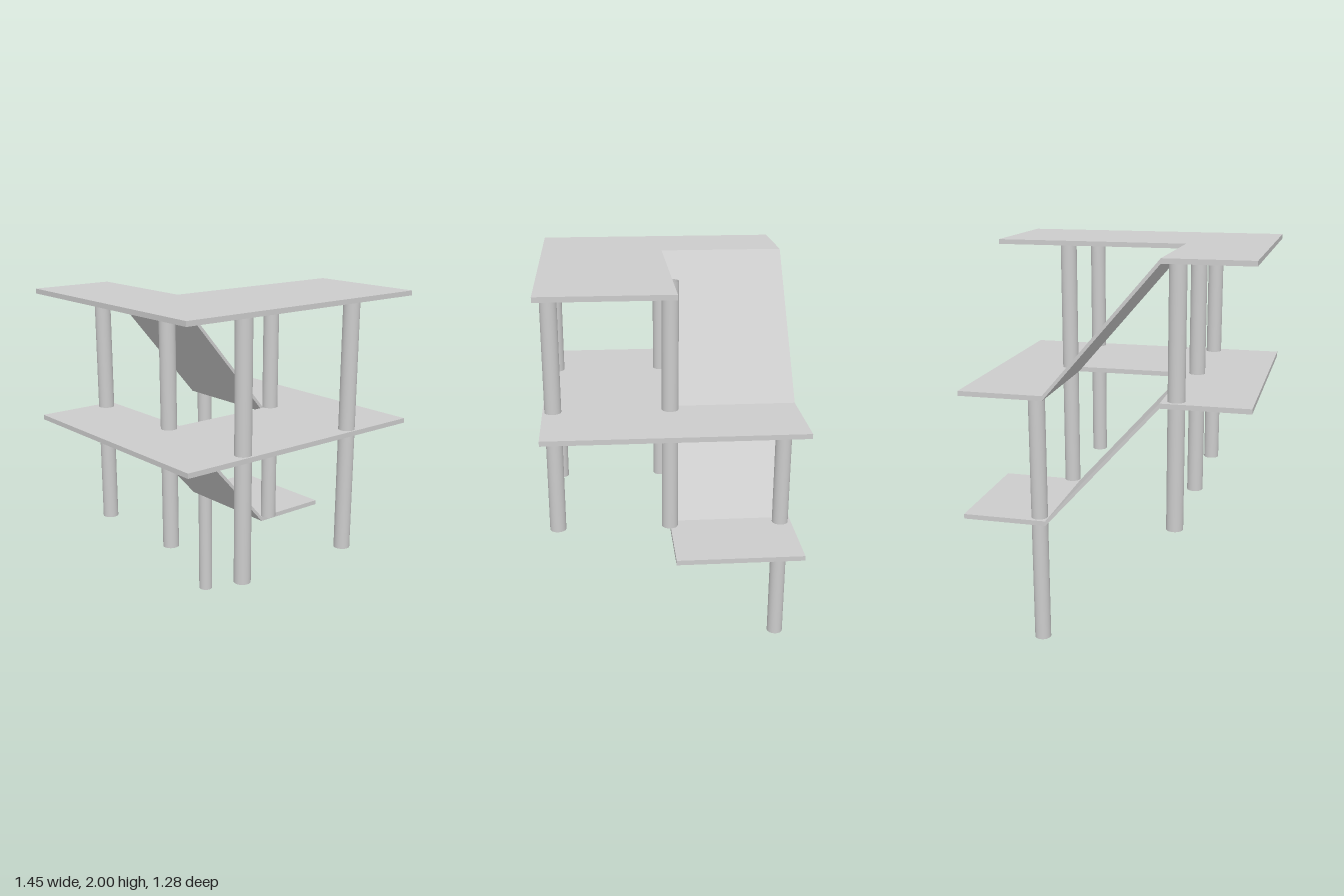
import * as THREE from 'three';

const W = 0.725, D = 0.64, IN = 0.29, T = 0.025; // half width, half depth, ramp half width, slab thickness
const LEVELS = [0.65, 1.3, 1.975]; // underside of each deck

export function createModel() {
  const group = new THREE.Group();
  const solid = new THREE.MeshStandardMaterial({ color: 0xcccccc });
  const shell = new THREE.MeshStandardMaterial({ color: 0xcccccc, side: THREE.DoubleSide });

  const add = (name, geometry, material) => {
    const mesh = new THREE.Mesh(geometry, material);
    mesh.name = name;
    group.add(mesh);
    return mesh;
  };
  const extrude = (points, depth) => new THREE.ExtrudeGeometry(
    new THREE.Shape(points.map(([x, y]) => new THREE.Vector2(x, y))), { depth, bevelEnabled: false });

  // Flat slab from an outline of [x, z] points
  const deck = (name, outline, y) => {
    const geometry = extrude(outline.map(([x, z]) => [x, -z]), T);
    geometry.rotateX(-Math.PI / 2);
    add(name, geometry, solid).position.y = y;
  };

  // Landing, notched middle floor and L-shaped top floor
  deck('lowerLanding', [[IN, 0], [W, 0], [W, -D], [IN, -D]], LEVELS[0]);
  deck('middleDeck', [[-W, D], [W, D], [W, -D], [IN, -D], [IN, 0], [-IN, 0], [-IN, -D], [-W, -D]], LEVELS[1]);
  deck('topDeck', [[-W, D], [W, D], [W, 0], [-IN, 0], [-IN, -D], [-W, -D]], LEVELS[2]);

  // Sloping ramps joining consecutive levels
  for (let i = 0; i < 2; i++) {
    const lo = LEVELS[i], hi = LEVELS[i + 1];
    const ramp = extrude([[-IN, hi], [IN, lo], [IN, lo + T], [-IN, hi + T]], D);
    add(i ? 'upperRamp' : 'lowerRamp', ramp, solid).position.z = -D;
  }

  // Hollow round columns, one length per storey
  const column = (name, x, z, bottom, top) => {
    const geometry = new THREE.CylinderGeometry(0.042, 0.042, top - bottom, 32, 1, true);
    add(name, geometry, shell).position.set(x, (bottom + top) / 2, z);
  };
  for (const x of [-0.36, 0.337]) {
    for (const z of [0.588, 0.003, -0.583]) {
      const backLeft = x > 0 && z < -0.1;
      column('middleColumn', x, z, LEVELS[0] + T, LEVELS[1]);
      if (backLeft) column('groundColumn', x, z, 0, LEVELS[0]);
      else column('upperColumn', x, z, LEVELS[1] + T, LEVELS[2]);
    }
  }

  return group;
}
